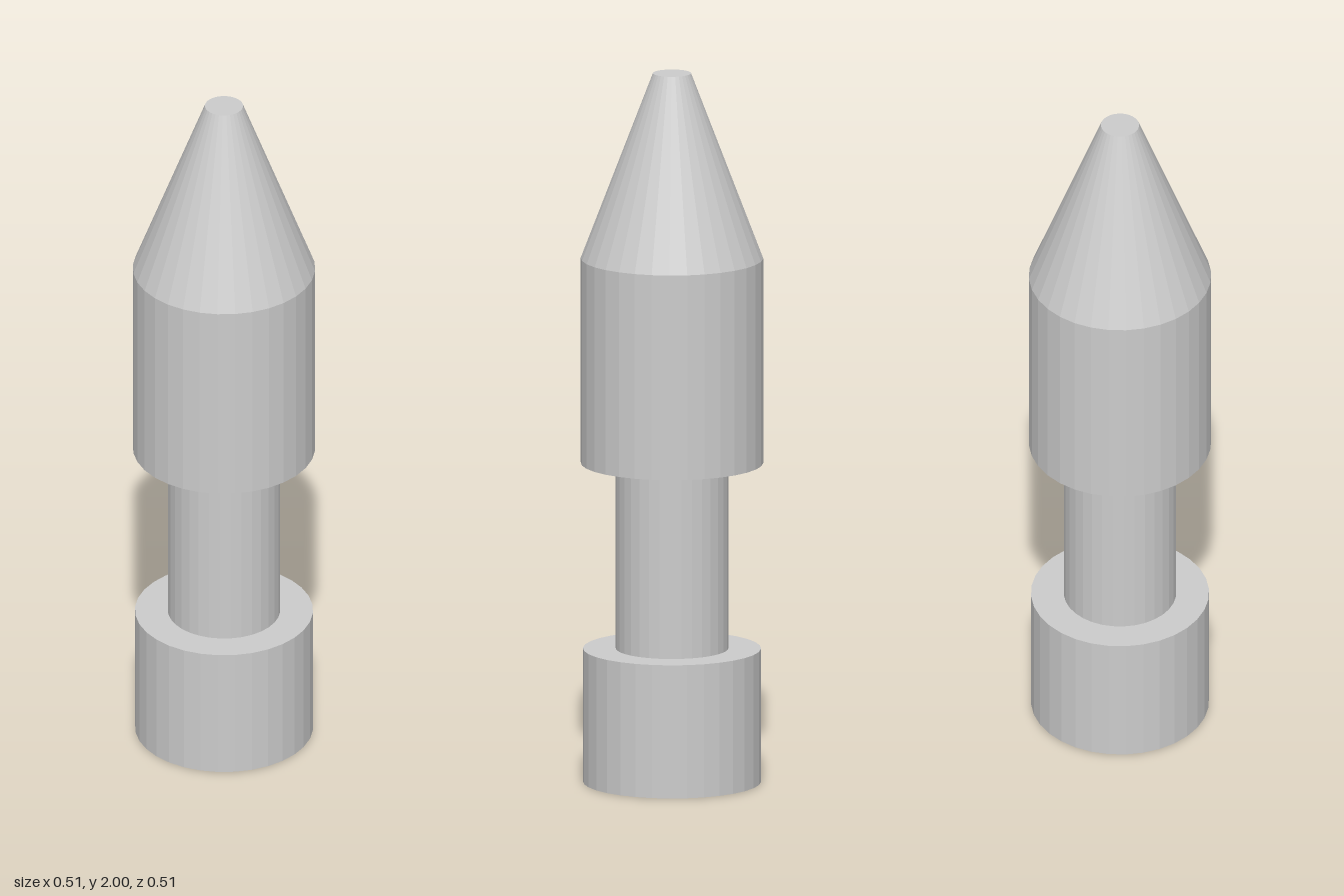
import * as THREE from 'three';

const SIDES = 32;

export function createModel() {
  const group = new THREE.Group();
  const material = new THREE.MeshStandardMaterial({ color: 0xcccccc, flatShading: true });

  // Faceted solid of revolution, closed at both ends; profile is [radius, height] from bottom to top
  function turned(name, profile) {
    const points = profile.map(([r, y]) => new THREE.Vector2(r, y));
    const mesh = new THREE.Mesh(new THREE.LatheGeometry(points, SIDES), material);
    mesh.name = name;
    group.add(mesh);
  }

  // Wide foot
  turned('base', [[0, 0], [0.247, 0], [0.247, 0.376], [0, 0.376]]);

  // Narrow shaft joining the foot to the body
  turned('neck', [[0, 0.376], [0.156, 0.376], [0.156, 0.9], [0, 0.9]]);

  // Upper cylinder with its blunt conical nose
  turned('bodyAndNose', [[0, 0.9], [0.253, 0.9], [0.253, 1.478], [0.053, 2], [0, 2]]);

  return group;
}
